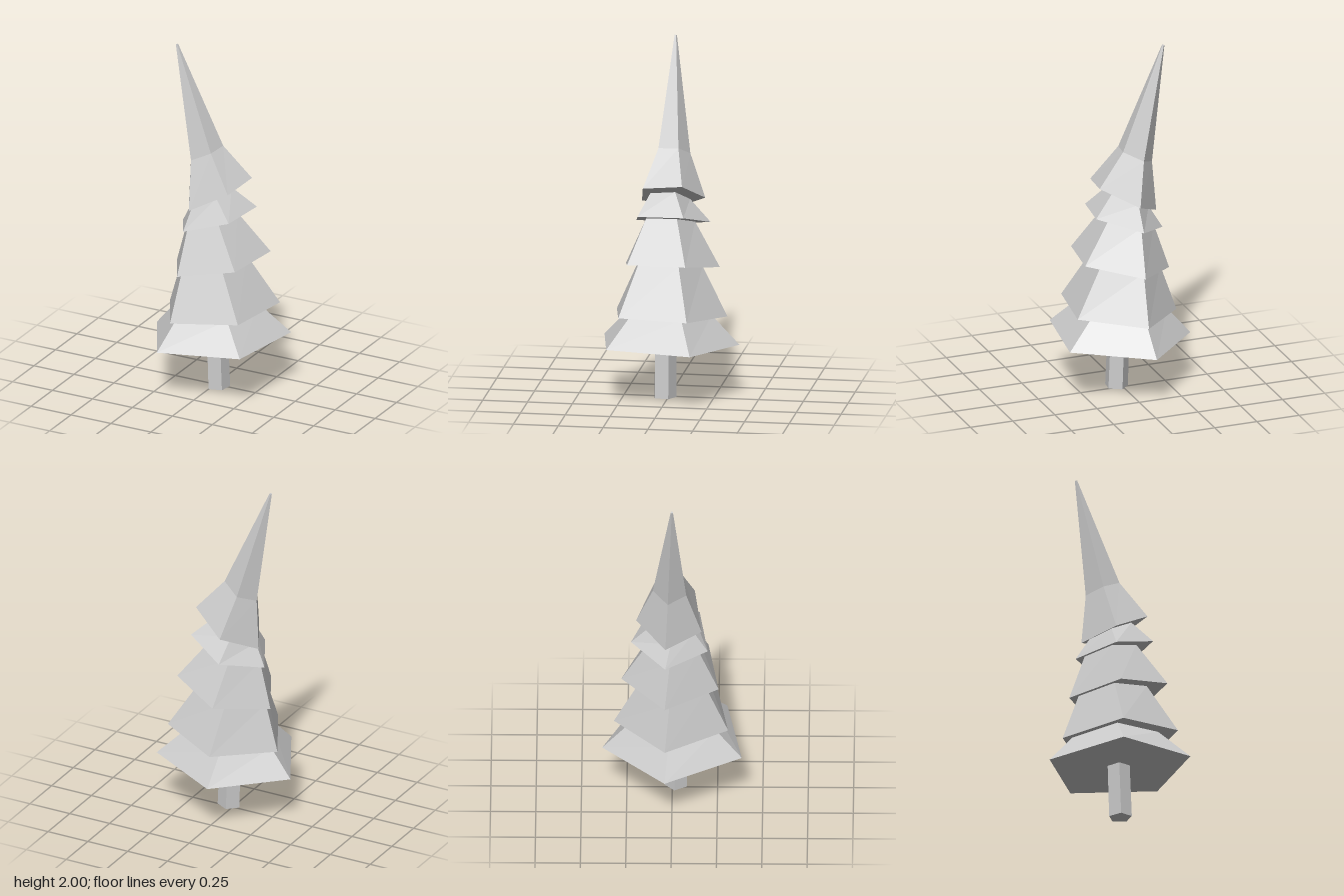
import * as THREE from 'three';

const SIDES = 5;
const TURN = THREE.MathUtils.degToRad(44);

// Five-sided ring centred on (cx, cz), lying in the plane y = y0 + sx * x + sz * z
function ring(cx, cz, r, [y0, sx, sz]) {
  return Array.from({ length: SIDES }, (_, i) => {
    const a = TURN + (i / SIDES) * Math.PI * 2;
    const x = cx + r * Math.cos(a);
    const z = cz + r * Math.sin(a);
    return new THREE.Vector3(x, y0 + sx * x + sz * z, z);
  });
}

// Skin a stack of rings from bottom to top and close both ends
function loft(rings) {
  const pts = [];
  for (let k = 0; k < rings.length - 1; k++) {
    const lo = rings[k], hi = rings[k + 1];
    for (let i = 0; i < SIDES; i++) {
      const j = (i + 1) % SIDES;
      pts.push(lo[i], hi[i], lo[j], lo[j], hi[i], hi[j]);
    }
  }
  const bottom = rings[0], top = rings[rings.length - 1];
  for (let i = 1; i < SIDES - 1; i++) {
    pts.push(bottom[0], bottom[i], bottom[i + 1]);
    pts.push(top[0], top[i + 1], top[i]);
  }
  const geometry = new THREE.BufferGeometry().setFromPoints(pts);
  geometry.computeVertexNormals();
  return geometry;
}

export function createModel() {
  const tree = new THREE.Group();
  tree.name = 'firTree';
  const material = new THREE.MeshStandardMaterial({ color: 0xcccccc, flatShading: true });
  const add = (name, rings) => {
    const mesh = new THREE.Mesh(loft(rings), material);
    mesh.name = name;
    tree.add(mesh);
  };

  // Underside plane of each tier: height, slope along x, slope along z
  const planes = [
    [0.308, 0.058, 0.02],
    [0.47, 0.113, 0.015],
    [0.747, 0.22, 0],
    [1.005, 0.32, 0],
    [1.14, 0.55, -0.04],
  ];

  // Trunk
  add('trunk', [
    ring(0.03, 0.021, 0.066, [0.004, 0.04, 0]),
    ring(0.018, 0.021, 0.064, [0.32, 0.058, 0.02]),
  ]);

  // Branch tiers, each ending on the underside of the next: [x, z, radius] of skirt and top
  const tiers = [
    [[0.02, 0.017, 0.409], [-0.005, 0.015, 0.25]],
    [[0.029, 0.008, 0.335], [-0.02, 0.015, 0.198]],
    [[0.023, 0, 0.285], [-0.03, 0.01, 0.15]],
    [[0.002, -0.006, 0.225], [-0.03, 0.01, 0.122]],
  ];
  tiers.forEach(([skirt, top], i) => {
    add(`branchTier${i + 1}`, [ring(...skirt, planes[i]), ring(...top, planes[i + 1])]);
  });

  // Crown: skirt, waist and leaning tip
  add('crown', [
    ring(0.006, -0.01, 0.192, planes[4]),
    ring(-0.067, -0.01, 0.098, [1.41, 0.5, 0]),
    ring(-0.24, 0, 0.007, [2.07, 0.3, 0]),
  ]);

  return tree;
}
